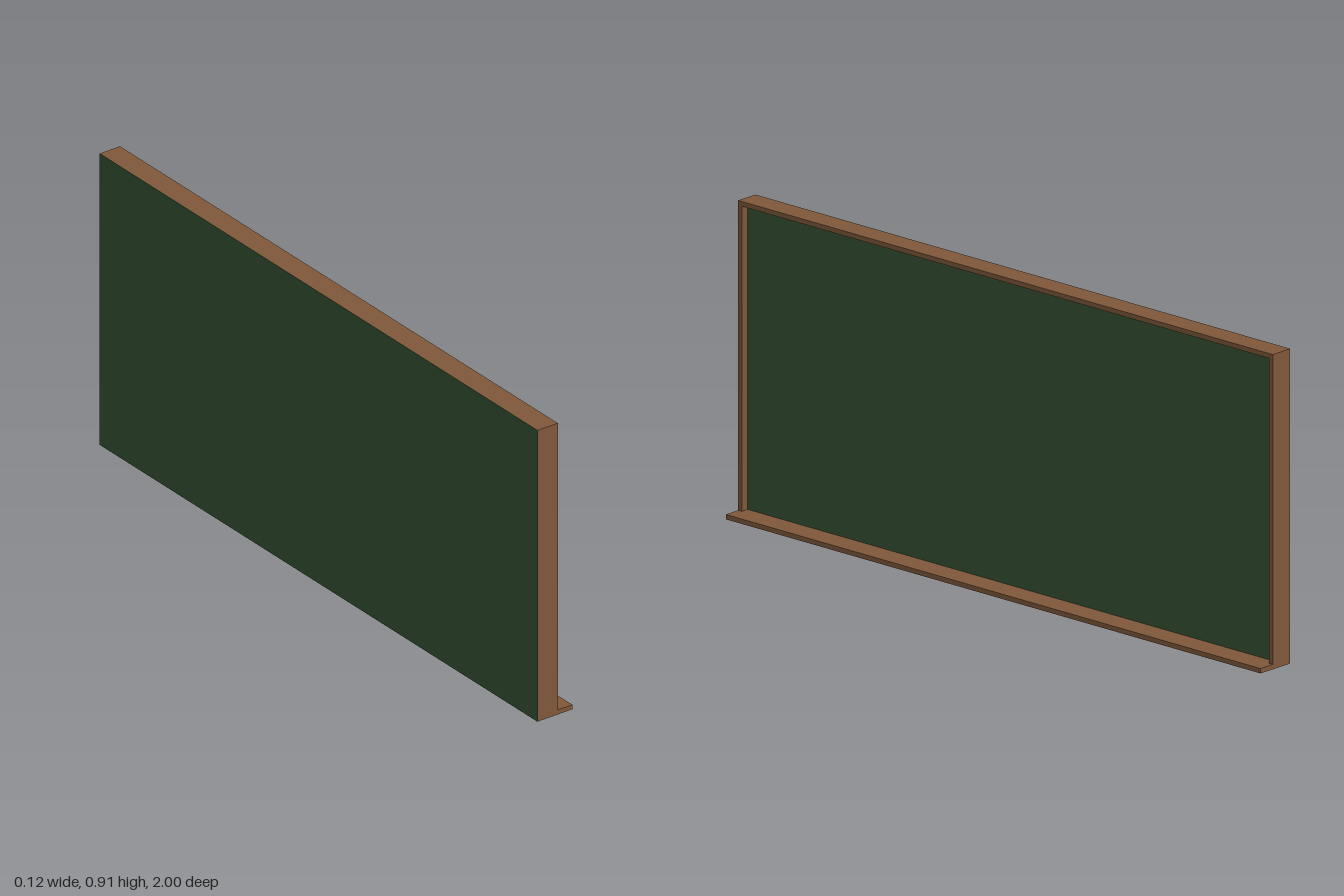
import * as THREE from 'three';

export function createModel() {
  const group = new THREE.Group();
  const wood = new THREE.MeshStandardMaterial({ color: 0x7f583b });
  wood.name = 'brown wood';
  const green = new THREE.MeshStandardMaterial({ color: 0x365434 });
  green.name = 'board green';

  // Box given by its minimum and maximum corners
  const box = (name, material, min, max) => {
    const size = max.map((v, i) => v - min[i]);
    const mesh = new THREE.Mesh(new THREE.BoxGeometry(...size), material);
    mesh.position.set(...max.map((v, i) => (v + min[i]) / 2));
    mesh.name = name;
    group.add(mesh);
    return mesh;
  };

  const height = 0.91, bar = 0.014;
  const back = -0.06, front = 0.01, face = -0.013;

  // Writing surface, recessed inside the frame
  box('writingBoard', green, [back + 0.001, bar, -1 + bar], [face, height - bar, 1 - bar]);

  // Green backing covering the whole rear
  box('backPanel', green, [back, 0, -1], [back + 0.001, height, 1]);

  // Frame bars; the underside of the top bar is green
  const topBar = box('topFrame', wood, [back + 0.001, height - bar, -1], [front, height, 1]);
  topBar.material = [wood, wood, wood, green, wood, wood];
  for (const side of [-1, 1]) {
    const inner = side * (1 - bar);
    box(side > 0 ? 'frontEndFrame' : 'rearEndFrame', wood,
      [back + 0.001, bar, Math.min(side, inner)],
      [front, height - bar, Math.max(side, inner)]);
  }

  // Bottom bar extended into the chalk ledge
  box('chalkLedge', wood, [back + 0.001, 0, -1], [0.06, bar, 1]);

  return group;
}
